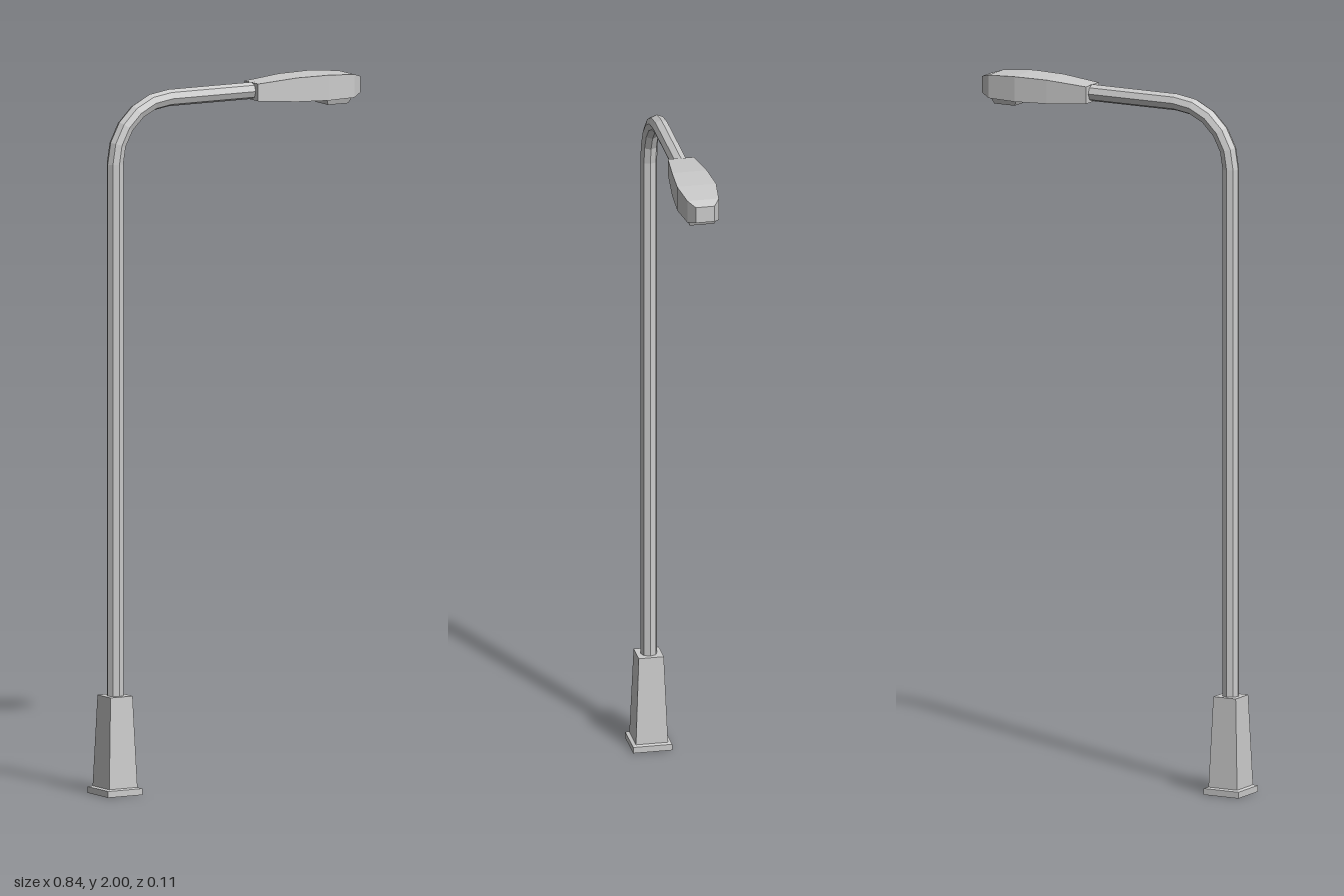
import * as THREE from 'three';

const POLE_X = -0.366;
const material = new THREE.MeshStandardMaterial({ color: 0xcccccc, flatShading: true, side: THREE.DoubleSide });

function addMesh(group, name, geometry) {
  geometry.computeVertexNormals();
  const mesh = new THREE.Mesh(geometry, material);
  mesh.name = name;
  group.add(mesh);
  return mesh;
}

// Square plinth, open underneath, with a projecting foot
function plinthGeometry() {
  const profile = [[0.044, 0], [0.056, 0], [0.056, 0.018], [0.046, 0.021], [0.036, 0.28], [0, 0.28]];
  const points = profile.map(([r, y]) => new THREE.Vector2(r * Math.SQRT2, y));
  return new THREE.LatheGeometry(points, 4, Math.PI / 4).toNonIndexed();
}

// Octagonal cylinder whose rings follow the post, the bend and the arm
function poleGeometry(radius) {
  const bend = 0.175, steps = 5, armY = 1.966;
  const rings = [{ x: POLE_X, y: 0.26, a: 0 }];
  for (let i = 0; i <= steps; i++) {
    const a = (i / steps) * Math.PI / 2;
    rings.push({ x: POLE_X + bend * (1 - Math.cos(a)), y: armY - bend * (1 - Math.sin(a)), a });
  }
  rings.push({ x: 0.1, y: armY, a: Math.PI / 2 });

  const last = rings.length - 1;
  const geometry = new THREE.CylinderGeometry(radius, radius, last, 8, last);
  const pos = geometry.attributes.position;
  for (let i = 0; i < pos.count; i++) {
    const { x, y, a } = rings[Math.round(pos.getY(i) + last / 2)];
    const side = pos.getX(i);
    pos.setXY(i, x + side * Math.cos(a), y - side * Math.sin(a));
  }
  return geometry;
}

// Box whose slices along x take the given half width, bottom and top
function loftGeometry(sections) {
  const last = sections.length - 1;
  const geometry = new THREE.BoxGeometry(last, 1, 1, last, 1, 1);
  const pos = geometry.attributes.position;
  for (let i = 0; i < pos.count; i++) {
    const [x, half, bottom, top] = sections[Math.round(pos.getX(i) + last / 2)];
    pos.setXYZ(i, x, pos.getY(i) > 0 ? top : bottom, Math.sign(pos.getZ(i)) * half);
  }
  return geometry;
}

// Shallow tray narrowing downwards
function lensGeometry() {
  const geometry = new THREE.BoxGeometry(0.088, 0.024, 0.088);
  const pos = geometry.attributes.position;
  for (let i = 0; i < pos.count; i++) {
    if (pos.getY(i) < 0) pos.setXYZ(i, pos.getX(i) * 0.75, pos.getY(i), pos.getZ(i) * 0.8);
  }
  return geometry;
}

export function createModel() {
  const group = new THREE.Group();
  group.name = 'streetLamp';

  addMesh(group, 'plinth', plinthGeometry()).position.x = POLE_X;
  addMesh(group, 'pole', poleGeometry(0.024));

  // Lamp housing: x, half width, bottom, top
  addMesh(group, 'lampHead', loftGeometry([
    [0.08, 0.037, 1.94, 1.989],
    [0.2, 0.05, 1.931, 1.999],
    [0.3, 0.056, 1.928, 2.0],
    [0.39, 0.045, 1.928, 1.994],
    [0.42, 0.027, 1.938, 1.985],
  ]));
  addMesh(group, 'lens', lensGeometry()).position.set(0.343, 1.924, 0);

  return group;
}
